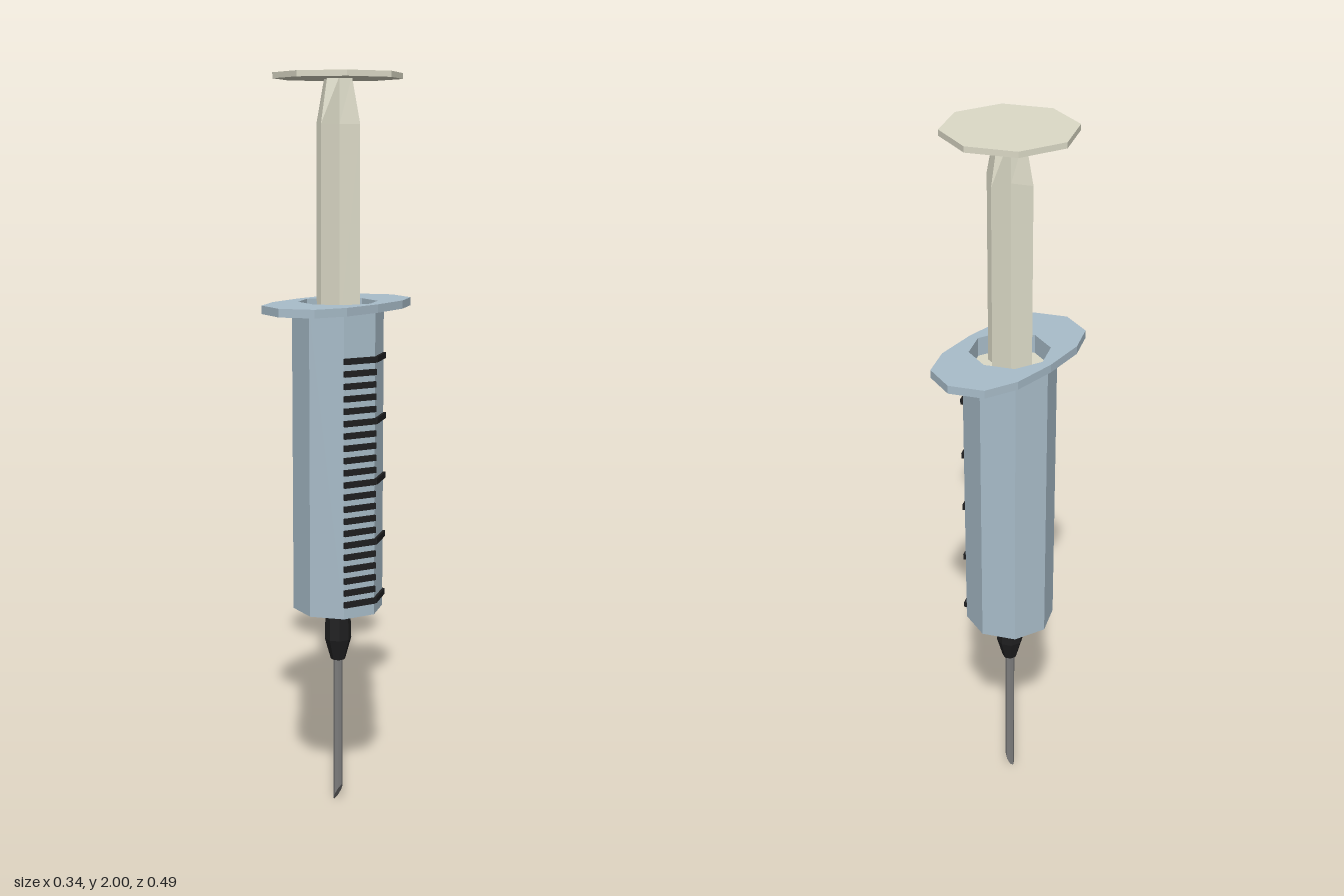
import * as THREE from 'three';

const mat = (name, color) => {
  const m = new THREE.MeshStandardMaterial({ color });
  m.name = name;
  return m;
};

// Faceted normals for the low-poly look
const flat = (geo) => {
  const g = geo.index ? geo.toNonIndexed() : geo;
  g.computeVertexNormals();
  return g;
};

export function createModel() {
  const model = new THREE.Group();
  model.name = 'syringe';

  const blue = mat('barrel blue', 0xa9bdca);
  const cream = mat('plunger cream', 0xdcdac7);
  const black = mat('black', 0x1f1f20);
  const steel = mat('needle grey', 0x7c7c7c);

  const add = (name, geo, material, parent = model) => {
    const mesh = new THREE.Mesh(flat(geo), material);
    mesh.name = name;
    parent.add(mesh);
    return mesh;
  };
  const lathe = (pts) => new THREE.LatheGeometry(pts.map(([x, y]) => new THREE.Vector2(x, y)), 8);

  // Hollow eight-sided barrel
  const R = 0.123, hole = 0.106;
  add('barrel', lathe([[0, 0.57], [R, 0.57], [R, 1.4], [hole, 1.4], [hole, 0.6], [0, 0.6]]), blue);

  // Finger flange: long plate with an octagonal hole
  const quarter = [[0.132, 0], [0.123, 0.123], [0.087, 0.21], [0, 0.246]];
  const half = [...quarter, ...quarter.slice(0, 3).reverse().map(([x, z]) => [-x, z])];
  const outline = [...half, ...half.slice(1, -1).reverse().map(([x, z]) => [x, -z])];
  const plate = new THREE.Shape(outline.map(([x, z]) => new THREE.Vector2(x, z)));
  const opening = [];
  for (let i = 0; i < 8; i++) {
    const a = (i * Math.PI) / 4;
    opening.push(new THREE.Vector2(hole * Math.cos(a), hole * Math.sin(a)));
  }
  plate.holes.push(new THREE.Path(opening));
  const flange = new THREE.ExtrudeGeometry(plate, { depth: 0.022, bevelEnabled: false });
  flange.rotateX(-Math.PI / 2).translate(0, 1.389, 0);
  add('fingerFlange', flange, blue);

  // Plunger: star-section rod, thumb plate and piston
  const plunger = new THREE.Group();
  plunger.name = 'plunger';
  model.add(plunger);
  const starRod = (rBottom, rTop, y0, y1) => {
    const g = new THREE.CylinderGeometry(rTop, rBottom, y1 - y0, 8, 1, true);
    const p = g.attributes.position;
    for (let i = 0; i < p.count; i++) {
      const x = p.getX(i), z = p.getZ(i);
      if (Math.abs(x) > 0.01 && Math.abs(z) > 0.01) {
        p.setX(i, Math.sign(x) * 0.02); // valleys between the ribs
        p.setZ(i, Math.sign(z) * 0.02);
      }
    }
    return g.translate(0, (y0 + y1) / 2, 0);
  };
  add('plungerRod', starRod(0.072, 0.072, 1.34, 1.87), cream, plunger);
  add('plungerNeck', starRod(0.072, 0.045, 1.87, 1.99), cream, plunger);
  add('thumbPlate', new THREE.CylinderGeometry(0.17, 0.17, 0.015, 8).translate(0, 1.9925, 0), cream, plunger);
  add('piston', new THREE.CylinderGeometry(0.105, 0.105, 0.03, 8).translate(0, 1.345, 0), cream, plunger);

  // Needle hub
  add('needleHub', lathe([[0, 0.42], [0.02, 0.42], [0.037, 0.48], [0.034, 0.575]]), black);

  // Needle with a slanted tip
  const r = 0.013;
  const needle = new THREE.CylinderGeometry(r, r, 0.43, 8).translate(0, 0.215, 0);
  const p = needle.attributes.position;
  for (let i = 0; i < p.count; i++) {
    if (p.getY(i) < 0.01) p.setY(i, ((p.getX(i) + r) / (2 * r)) * 0.05);
  }
  add('needle', needle, steel);

  // Scale: short marks on one facet, every fifth mark wraps onto the next
  const scale = new THREE.Group();
  scale.name = 'scaleMarks';
  model.add(scale);
  const apothem = R * Math.cos(Math.PI / 8);
  const addMark = (name, y, angle) => {
    const g = new THREE.BoxGeometry(0.096, 0.016, 0.009);
    g.translate(0, y, apothem + 0.0025).rotateY(angle);
    add(name, g, black, scale);
  };
  for (let i = 0; i <= 20; i++) {
    const y = 0.61 + i * 0.0328;
    addMark('mark', y, (3 * Math.PI) / 8);
    if (i % 5 === 0) addMark('longMark', y, (5 * Math.PI) / 8);
  }
  // Facet centres sit at 67.5 and 112.5 degrees, either side of +x
  return model;
}
